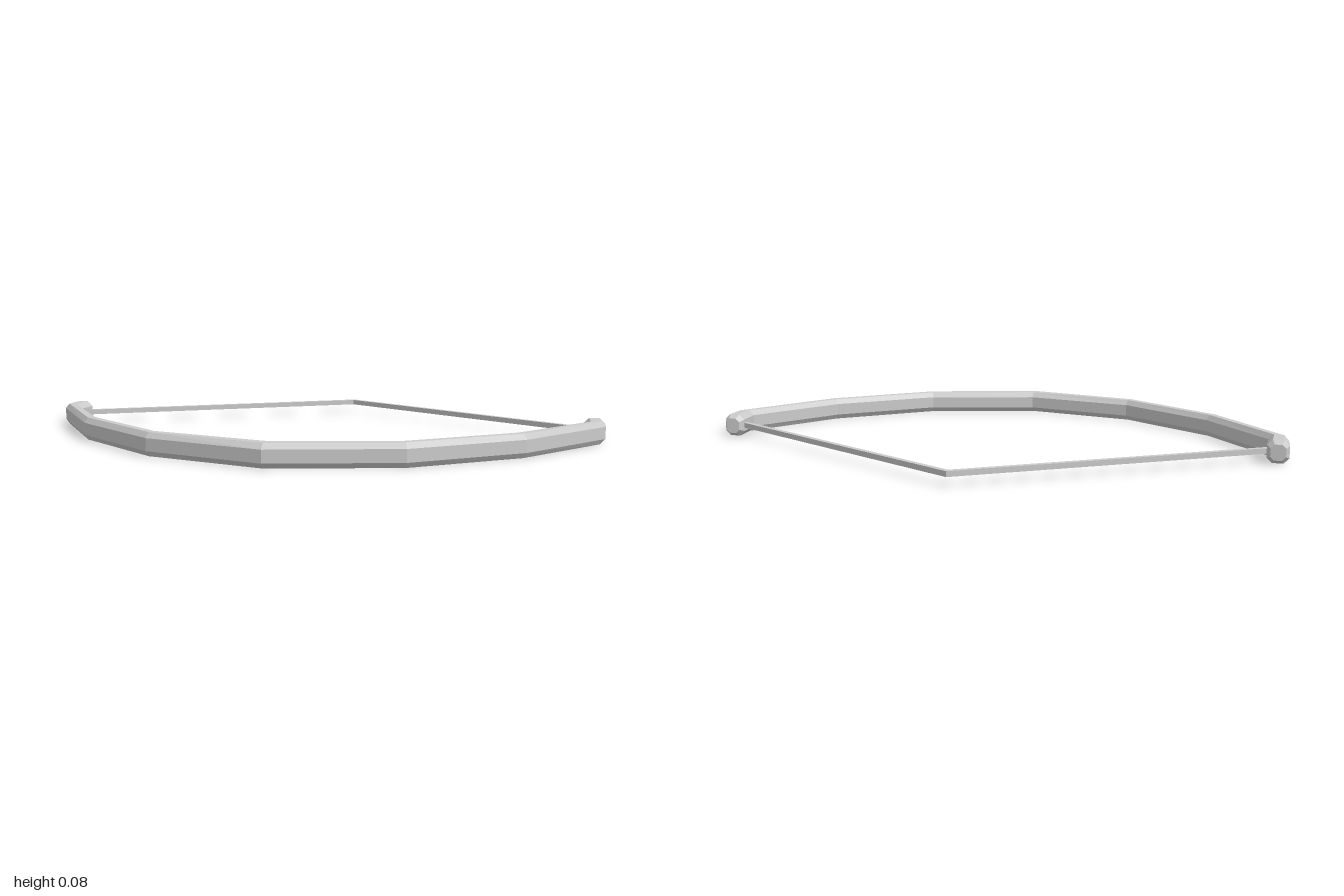
import * as THREE from 'three';

const MID_Y = 0.04;
const material = new THREE.MeshStandardMaterial({ color: 0xcccccc, flatShading: true });

// Bevelled bar section: [share of width from centre, outward positive; height from centre]
const barSection = [
  [0.5, -0.021], [0.5, 0.021], [0.25, 0.039], [-0.25, 0.039],
  [-0.5, 0.021], [-0.5, -0.021], [-0.25, -0.039], [0.25, -0.039],
];
const cordSection = [[0.5, -0.009], [0.5, 0.009], [-0.5, 0.009], [-0.5, -0.009]];

// Joins section rings; each station is [outer x, outer z, inner x, inner z, section scale]
function sweep(name, stations, section) {
  const n = section.length;
  const positions = [];
  const index = [];
  for (const [ox, oz, ix, iz, s = 1] of stations) {
    for (const [t, y] of section) {
      const k = 0.5 + t * s;
      positions.push(ix + (ox - ix) * k, MID_Y + y * s, iz + (oz - iz) * k);
    }
  }
  for (let r = 0; r < stations.length - 1; r++) {
    for (let i = 0; i < n; i++) {
      const a = r * n + i;
      const b = r * n + (i + 1) % n;
      index.push(a, b, b + n, a, b + n, a + n);
    }
  }
  // End caps
  const last = (stations.length - 1) * n;
  for (let i = 1; i < n - 1; i++) {
    index.push(0, i + 1, i, last, last + i, last + i + 1);
  }
  const indexed = new THREE.BufferGeometry();
  indexed.setAttribute('position', new THREE.Float32BufferAttribute(positions, 3));
  indexed.setIndex(index);
  const geometry = indexed.toNonIndexed();
  geometry.computeVertexNormals();
  const mesh = new THREE.Mesh(geometry, material);
  mesh.name = name;
  return mesh;
}

// Mirrors stations that run from an end to the one on the centre line
function mirrored(half) {
  const other = half.slice(0, -1).reverse().map(([ox, oz, ix, iz, s]) => [-ox, oz, -ix, iz, s]);
  return [...half, ...other];
}

export function createModel() {
  const bow = new THREE.Group();
  bow.name = 'bow';

  // Faceted limbs with bevelled tips
  const limbs = mirrored([
    [1, -0.145, 0.927, -0.145, 0.68],
    [1, -0.127, 0.927, -0.127],
    [1, -0.05, 0.933, -0.035],
    [0.754, 0.292, 0.717, 0.257],
    [0.417, 0.55, 0.396, 0.5],
    [0, 0.667, 0, 0.595],
  ]);
  bow.add(sweep('bowLimbs', limbs, barSection));

  // Drawn string, bent at the centre
  const string = mirrored([
    [-0.945, -0.115, -0.945, -0.094],
    [0, -0.671, 0, -0.65],
  ]);
  bow.add(sweep('bowString', string, cordSection));

  return bow;
}
